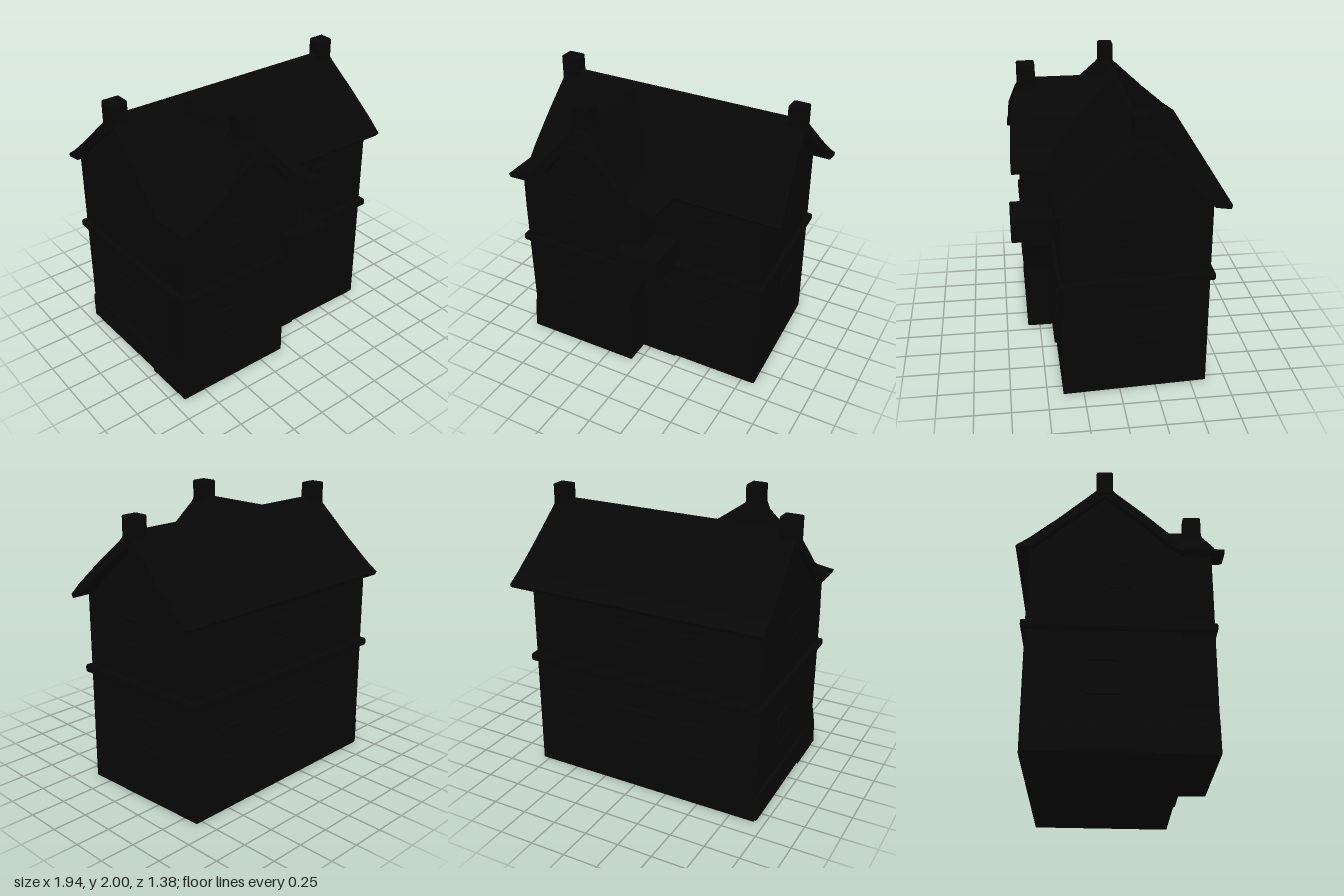
import * as THREE from 'three';
import { RoundedBoxGeometry } from 'three/addons/geometries/RoundedBoxGeometry.js';

const material = new THREE.MeshStandardMaterial({ color: 0x070707 });

function toShape(points) {
  return new THREE.Shape(points.map(([x, y]) => new THREE.Vector2(x, y)));
}

// Prism along z from z0 to z1 with softly worn edges
function prism(points, z0, z1, bevel = 0.01) {
  const geometry = new THREE.ExtrudeGeometry(toShape(points), {
    depth: z1 - z0 - 2 * bevel, bevelThickness: bevel, bevelSize: bevel,
    bevelOffset: -bevel, bevelSegments: 2, curveSegments: 8,
  });
  return geometry.translate(0, 0, z0 + bevel);
}

// Re-spread the length of a unit prism between two ends that depend on height
function fitEnds(geometry, start, end) {
  const p = geometry.attributes.position;
  for (let i = 0; i < p.count; i++) {
    const y = p.getY(i);
    p.setZ(i, THREE.MathUtils.lerp(start(y), end(y), p.getZ(i)));
  }
  geometry.computeVertexNormals();
  return geometry;
}

// Crooked plan: the left side closes in toward the back, the right side toward the front
function skewSides(geometry, leftBack, rightFront) {
  const p = geometry.attributes.position;
  for (let i = 0; i < p.count; i++) {
    const x = p.getX(i), z = p.getZ(i);
    const shift = x > 0 ? leftBack * (z - 0.39) : rightFront * (z + 0.61) / 1.2;
    p.setX(i, x + shift * Math.abs(x) / 0.9);
  }
  geometry.computeVertexNormals();
  return geometry;
}

function add(parent, name, geometry, x = 0, y = 0, z = 0) {
  const mesh = new THREE.Mesh(geometry, material);
  mesh.name = name;
  mesh.position.set(x, y, z);
  parent.add(mesh);
}

function roundedPath(path, w, h, r) {
  const a = w / 2, b = h / 2;
  path.moveTo(-a + r, -b).lineTo(a - r, -b);
  path.quadraticCurveTo(a, -b, a, -b + r).lineTo(a, b - r);
  path.quadraticCurveTo(a, b, a - r, b).lineTo(-a + r, b);
  path.quadraticCurveTo(-a, b, -a, b - r).lineTo(-a, -b + r);
  path.quadraticCurveTo(-a, -b, -a + r, -b);
  return path;
}

// Window: rounded frame, recessed pane and a mullion
function addWindow(parent, name, [x, y, z], w, h, turn) {
  const g = new THREE.Group();
  g.name = name;
  const frame = roundedPath(new THREE.Shape(), w, h, 0.035);
  frame.holes.push(roundedPath(new THREE.Path(), w - 0.05, h - 0.05, 0.02));
  add(g, 'windowFrame', new THREE.ExtrudeGeometry(frame, {
    depth: 0.012, bevelThickness: 0.005, bevelSize: 0.006, bevelOffset: -0.006, bevelSegments: 2, curveSegments: 4,
  }), 0, 0, -0.004);
  add(g, 'windowPane', new THREE.BoxGeometry(w - 0.04, h - 0.04, 0.01), 0, 0, -0.002);
  add(g, 'mullion', new THREE.BoxGeometry(0.014, h - 0.04, 0.014));
  g.position.set(x, y, z);
  g.rotation.y = turn;
  parent.add(g);
}

export function createModel() {
  const house = new THREE.Group();
  house.name = 'house';

  // Main block with gable ends; the profile runs in (-z, y)
  const main = prism([
    [-0.39, 0], [0.61, 0], [0.605, 1.4], [0.11, 1.83], [-0.39, 1.4],
  ], -0.93, 0.85).rotateY(Math.PI / 2);
  add(house, 'mainWalls', skewSides(main, 0.05, 0.03));

  // Front wing, its lower corner cut back beside the door
  const wing = prism([
    [-0.95, 0], [-0.06, 0], [-0.055, 0.5], [-0.02, 0.63], [0.05, 0.74],
    [0.05, 1.39], [-0.04, 1.45], [-0.2, 1.63], [-0.38, 1.77], [-0.56, 1.63],
    [-0.73, 1.44], [-0.92, 1.39], [-0.925, 1.1], [-0.92, 0.3], [-0.94, 0.18],
  ], 0.2, 0.59);
  add(house, 'wingWalls', skewSides(wing, 0, 0.03));
  const plinth = new RoundedBoxGeometry(0.06, 0.2, 1.18, 2, 0.015).translate(-0.915, 0.1, -0.015);
  add(house, 'plinth', skewSides(plinth, 0, 0.03));

  // Main roof, flaring outwards toward the eaves
  const mainRoof = prism([
    [0.13, 1.895], [0.19, 1.835], [0.42, 1.62], [0.6, 1.465], [0.69, 1.4],
    [0.68, 1.375], [0.58, 1.39], [0.37, 1.58], [0.11, 1.8], [-0.13, 1.6],
    [-0.33, 1.41], [-0.4, 1.375], [-0.42, 1.4], [-0.34, 1.49], [-0.15, 1.67],
    [0.04, 1.835], [0.09, 1.895],
  ], 0, 1, 0.006);
  fitEnds(mainRoof, (y) => -0.955 - (1.9 - y) * 0.03, (y) => 0.91 + (1.9 - y) * 0.12);
  add(house, 'mainRoof', skewSides(mainRoof.rotateY(Math.PI / 2), 0.03, 0.02));

  // Wing roof with swept eaves; its rear follows the main slope
  const outer = [[0.025, 1.885], [0.07, 1.82], [0.22, 1.65], [0.36, 1.48], [0.46, 1.42], [0.59, 1.4]];
  const inner = [[0.58, 1.375], [0.44, 1.38], [0.31, 1.45], [0.16, 1.63], [0.06, 1.7]];
  const half = [...outer, ...inner];
  const wingRoof = prism([
    ...half.map(([u, y]) => [-0.38 + u, y]), [-0.38, 1.715],
    ...half.slice().reverse().map(([u, y]) => [-0.38 - u, y]),
  ].reverse(), 0, 1, 0.006);
  fitEnds(wingRoof, (y) => -0.12 + (1.9 - y) * 1.0,
    (y) => 0.67 - (y - 1.38) * 0.06 - Math.max(0, y - 1.73) * 0.45);
  add(house, 'wingRoof', skewSides(wingRoof, 0, 0.02));

  // Chimneys: x, width, height, z, depth
  const chimneys = [
    [-0.895, 0.13, 0.18, -0.115, 0.11], [0.84, 0.12, 0.18, -0.115, 0.11], [-0.38, 0.12, 0.3, 0.525, 0.13],
  ];
  for (const [x, w, h, z, d] of chimneys) {
    add(house, 'chimney', new RoundedBoxGeometry(w, h, d, 2, 0.012), x, 2 - h / 2, z);
  }
  const skirt = new THREE.CylinderGeometry(0.085, 0.13, 0.12, 4).rotateY(Math.PI / 4);
  add(house, 'chimneyBase', skirt, -0.38, 1.81, 0.52);

  // String course between the floors, drawn as a plan in (x, -z)
  const band = prism([
    [-0.955, -0.605], [0.07, -0.605], [0.07, -0.415], [0.88, -0.415], [0.88, 0.635], [-0.955, 0.635],
  ], 0.81, 0.875, 0.018).rotateX(-Math.PI / 2);
  add(house, 'stringCourse', skewSides(band, 0.05, 0.03));

  // Porch box over the entrance and the arched door
  add(house, 'porchBox', new RoundedBoxGeometry(0.31, 0.19, 0.34, 2, 0.012), 0.065, 0.955, 0.52);
  add(house, 'doorway', prism([
    [-0.08, 0], [0.21, 0], [0.21, 0.66], [0.16, 0.69], [0.06, 0.72], [-0.08, 0.72],
  ], 0.36, 0.405));

  // Windows: position, width, height, turn
  const back = Math.PI, left = Math.PI / 2 + 0.05, right = -Math.PI / 2 + 0.025;
  const windows = [
    ['frontWindow', [-0.48, 1.21, 0.59], 0.14, 0.19, 0],
    ['frontWindow', [0.47, 1.2, 0.39], 0.19, 0.21, 0],
    ['frontWindow', [-0.55, 0.51, 0.59], 0.18, 0.25, 0],
    ['frontWindow', [0.47, 0.51, 0.39], 0.2, 0.25, 0],
    ['leftWindow', [0.83, 1.21, -0.04], 0.16, 0.2, left],
    ['leftWindow', [0.823, 0.5, -0.19], 0.27, 0.25, left],
    ['rightWindow', [-0.915, 1.21, -0.02], 0.17, 0.2, right],
    ['rightWindow', [-0.918, 0.5, -0.12], 0.25, 0.25, right],
    ['backWindow', [0.02, 1.18, -0.608], 0.27, 0.18, back],
    ['backWindow', [-0.46, 1.18, -0.608], 0.19, 0.18, back],
    ['backWindow', [0.48, 0.5, -0.61], 0.2, 0.25, back],
    ['backWindow', [-0.03, 0.5, -0.61], 0.32, 0.25, back],
    ['backWindow', [-0.47, 0.5, -0.61], 0.2, 0.25, back],
  ];
  for (const w of windows) addWindow(house, ...w);

  return house;
}
